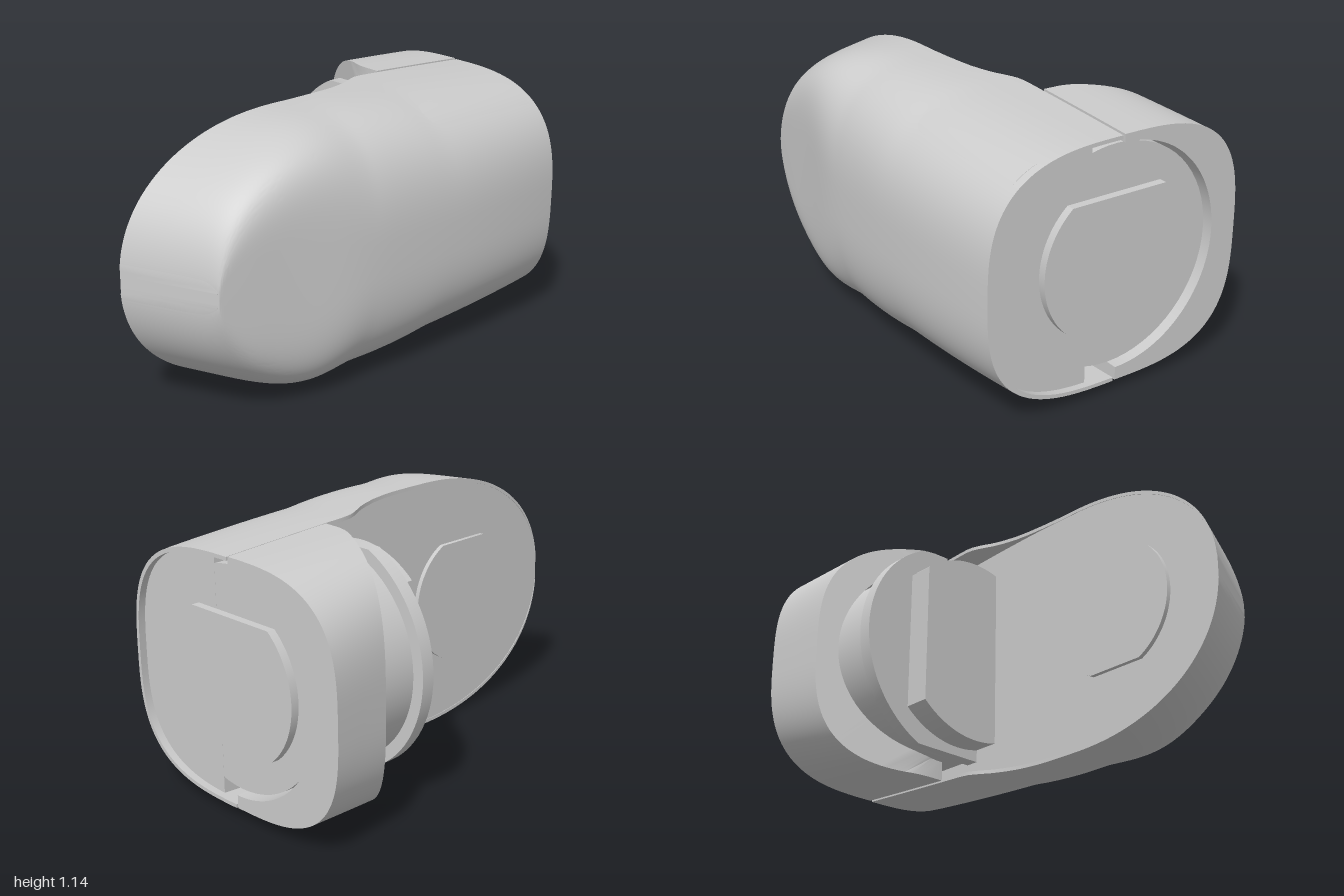
import * as THREE from 'three';
import { toCreasedNormals } from 'three/addons/utils/BufferGeometryUtils.js';

const CY = 0.573; // height of the body axis
const CORE_X = -0.02, CORE_Y = 0.588; // axis of the round core
const BACK = -0.965; // recessed back face
const material = new THREE.MeshStandardMaterial({ color: 0xcccccc, side: THREE.DoubleSide });

// Piecewise linear lookup in [position, value] pairs
function lerpTable(table, v) {
  if (v <= table[0][0]) return table[0][1];
  for (let i = 1; i < table.length; i++) {
    const [a, va] = table[i - 1], [b, vb] = table[i];
    if (v <= b) return va + (vb - va) * (v - a) / (b - a);
  }
  return table[table.length - 1][1];
}

// Inner edge of the long shell: wraps the core, then steps back to the flat face
const LIP = [[-0.38, -0.02], [-0.34, -0.014], [-0.3, 0.002], [-0.25, 0.03], [-0.2, 0.051], [-0.13, 0.071], [-0.06, 0.083], [0.02, 0.09], [0.12, 0.094]];

const bodyWidth = s => 0.62 - (s < -0.4 ? 0.09 : 0.066) * (s + 0.4) ** 2;

function halfHeight(s) {
  if (s < 0) return 0.572 - 0.047 * Math.pow(-s, 1.3);
  const t = Math.min(1, Math.max(0, (s - 0.2) / 0.8));
  return Math.max(0.002, 0.572 * Math.pow(1 - Math.pow(t, 2.2), 1 / 2.2));
}

// Half superellipse from the top edge round to the bottom edge, bulging from x0 to x1
function halfOutline(x0, x1, h, n, count = 72) {
  const points = [];
  for (let i = 0; i <= count; i++) {
    const a = Math.PI / 2 - Math.PI * i / count;
    const c = Math.max(0, Math.cos(a)), sn = Math.sin(a);
    points.push([x0 + (x1 - x0) * Math.pow(c, 2 / n), Math.sign(sn) * h * Math.pow(Math.abs(sn), 2 / n)]);
  }
  return points;
}

// Closed solid lofted through sections {outer, inner} of [x, y, z] points
function loft(sections, flip) {
  const positions = [];
  const quad = (a, b, c, d) => positions.push(...(flip ? [a, b, c, a, c, d] : [a, d, c, a, c, b]).flat());
  const rings = sections.map(s => [...s.outer, ...s.inner.slice().reverse()]);
  for (let k = 0; k < rings.length - 1; k++) {
    const r = rings[k], q = rings[k + 1];
    for (let i = 0; i < r.length; i++) {
      const j = (i + 1) % r.length;
      quad(r[i], r[j], q[j], q[i]);
    }
  }
  const first = sections[0], last = sections[sections.length - 1];
  for (let i = 0; i < first.outer.length - 1; i++) {
    quad(first.outer[i], first.inner[i], first.inner[i + 1], first.outer[i + 1]);
    quad(last.outer[i], last.outer[i + 1], last.inner[i + 1], last.inner[i]);
  }
  const geometry = new THREE.BufferGeometry();
  geometry.setAttribute('position', new THREE.Float32BufferAttribute(positions, 3));
  return toCreasedNormals(geometry, 0.6);
}

// One section of the long body, inset by t; slanted and squarer towards the nose
function bodyOutline(s, x0, t) {
  const k = THREE.MathUtils.smoothstep(s, 0, 0.8);
  const n = 3 + 4.5 * Math.pow(Math.max(0, (s - 0.1) / 0.9), 1.4);
  return halfOutline(x0, bodyWidth(s) - t, halfHeight(s) - t, n)
    .map(([x, y]) => [x, CY + y, s - 0.45 * k * (x - x0)]);
}

// Stations along the body, closer together towards the rounded nose
function stations(start) {
  const list = [];
  for (let i = 0; i < 40; i++) list.push(start + (0.2 - start) * i / 40);
  for (let i = 0; i <= 48; i++) list.push(0.2 + 0.795 * Math.sin(Math.PI / 2 * i / 48));
  list.push(0.998);
  return list;
}
const inset = s => Math.min(0.016, halfHeight(s) * 0.1);

function longShell() {
  return loft(stations(-1).map(s => {
    const x0 = lerpTable(LIP, s);
    return { outer: bodyOutline(s, x0, 0), inner: bodyOutline(s, x0, inset(s)) };
  }), false);
}

function chassis() {
  return loft(stations(BACK).map(s => {
    const outer = bodyOutline(s, 0.096, inset(s) * 0.96);
    return { outer, inner: outer.map(p => [0.096, p[1], s]) };
  }), false);
}

// Short clamp cover with a round bore and a slanted front edge
function shortShell() {
  const END = [[-0.6, -0.725], [-0.17, -0.51], [-0.12, -0.497], [-0.03, -0.495]];
  const sections = [];
  for (let k = 0; k <= 16; k++) {
    const u = k / 16, s = -1 + 0.5 * u;
    const place = ([x, y]) => [x, y, -1 + u * (lerpTable(END, x) + 1)];
    const outer = halfOutline(-0.03, -0.622 + 0.036 * u, halfHeight(s), 3.1)
      .map(([x, y]) => place([x, CY + 0.003 + y]));
    const inner = halfOutline(-0.03, -0.5, 0.48, 2).map(([x, y]) => place([x, CORE_Y + y]));
    sections.push({ outer, inner });
  }
  return loft(sections, true);
}

// Disc along z with two opposite flats at y = +-flat
function flattedDisc(radius, flat, depth) {
  const points = [], corner = Math.asin(flat / radius);
  for (const start of [-corner, Math.PI - corner]) {
    for (let i = 0; i <= 32; i++) {
      const a = start + 2 * corner * i / 32;
      points.push(new THREE.Vector2(radius * Math.cos(a), radius * Math.sin(a)));
    }
  }
  const geometry = new THREE.ExtrudeGeometry(new THREE.Shape(points), { depth, bevelEnabled: false });
  return toCreasedNormals(geometry, 0.6);
}

export function createModel() {
  const model = new THREE.Group();
  const add = (name, geometry, x = 0, y = 0, z = 0) => {
    const mesh = new THREE.Mesh(geometry, material);
    mesh.name = name;
    mesh.position.set(x, y, z);
    model.add(mesh);
    return mesh;
  };

  add('longShell', longShell());
  add('chassis', chassis());
  add('shortShell', shortShell());

  // Round core with its flange and keyed bosses
  const barrel = new THREE.CylinderGeometry(0.468, 0.468, 0.5, 64).rotateX(Math.PI / 2);
  add('coreBarrel', barrel, CORE_X, CORE_Y, BACK + 0.2505);
  add('coreFlange', flattedDisc(0.52, 0.47, 0.06), CORE_X, CORE_Y, -0.467);
  add('frontBoss', flattedDisc(0.43, 0.29, 0.13), CORE_X, CORE_Y, -0.42).rotation.z = Math.PI / 2;
  add('backBoss', flattedDisc(0.35, 0.268, 0.05), CORE_X, CORE_Y, -1);

  // Raised pad on the inner face of the long body
  add('innerPad', flattedDisc(0.3, 0.268, 0.04), 0.076, CY, 0.45).rotation.y = Math.PI / 2;

  return model;
}
